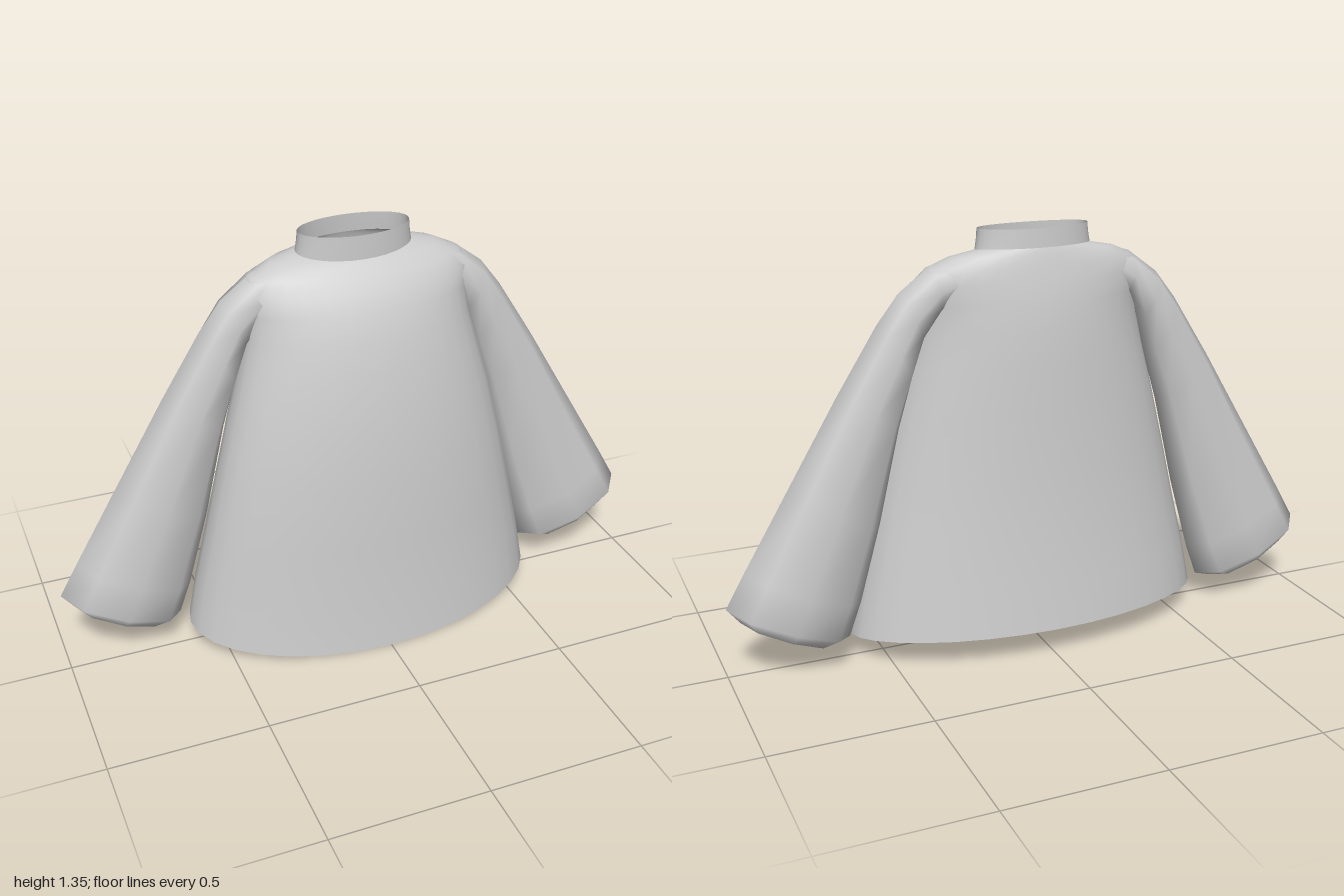
import * as THREE from 'three';

const material = new THREE.MeshStandardMaterial({ color: 0xcccccc, side: THREE.DoubleSide });

// Skin a list of closed rings; point(row, angle) returns [x, y, z].
function loft(name, rows, sides, point) {
  const positions = [], index = [];
  rows.forEach((row, i) => {
    for (let j = 0; j < sides; j++) {
      positions.push(...point(row, (j / sides) * Math.PI * 2));
      if (i === 0) continue;
      const k = (j + 1) % sides;
      const a = (i - 1) * sides + j, b = (i - 1) * sides + k;
      const c = i * sides + j, d = i * sides + k;
      index.push(a, b, d, a, d, c);
    }
  });
  const geometry = new THREE.BufferGeometry();
  geometry.setAttribute('position', new THREE.Float32BufferAttribute(positions, 3));
  geometry.setIndex(index);
  geometry.computeVertexNormals();
  const mesh = new THREE.Mesh(geometry, material);
  mesh.name = name;
  return mesh;
}

// Horizontal oval ring that dips at the front and lifts at the back.
function oval([y, halfWidth, front, back, tilt], t) {
  const c = Math.cos(t);
  return [
    halfWidth * Math.sin(t),
    y - tilt * (0.0475 * c + 0.0225 * c * c),
    (front + back) / 2 + (c * (front - back)) / 2,
  ];
}

// Height, half width, front z, back z, tilt
const bodyRows = [
  [0.07, 0.6, 0.275, -0.272, 1],
  [0.22, 0.572, 0.257, -0.254, 0.6],
  [0.4, 0.53, 0.246, -0.235, 0.3],
  [0.6, 0.485, 0.232, -0.219, 0],
  [0.8, 0.435, 0.208, -0.207, 0],
  [0.95, 0.392, 0.181, -0.199, 0],
  [1.05, 0.367, 0.156, -0.191, 0],
  [1.13, 0.36, 0.13, -0.181, 0],
  [1.19, 0.372, 0.098, -0.169, 0],
  [1.235, 0.345, 0.068, -0.158, 0.1],
  [1.268, 0.27, 0.045, -0.149, 0.2],
  [1.285, 0.187, 0.031, -0.142, 0.27],
];

const collarRows = [
  [1.285, 0.187, 0.031, -0.142, 0.27],
  [1.315, 0.182, 0.03, -0.14, 0.15],
  [1.348, 0.179, 0.029, -0.138, 0.08],
];

// Outer x, y, inner x, y, half depth; last row turns in at the cuff
const sleeveRows = [
  [0.2, 1.28, 0.2, 1.16, 0.08],
  [0.33, 1.245, 0.31, 1.1, 0.08],
  [0.43, 1.17, 0.36, 1.02, 0.078],
  [0.5, 1.08, 0.395, 0.9, 0.078],
  [0.63, 0.875, 0.44, 0.75, 0.08],
  [0.8, 0.59, 0.51, 0.45, 0.09],
  [0.94, 0.355, 0.58, 0.2, 0.101],
  [1.0, 0.25, 0.62, 0.09, 0.107],
  [0.96, 0.2, 0.68, 0.073, 0.078],
];

function sleeve(name, side) {
  return loft(name, sleeveRows, 8, ([ox, oy, ix, iy, depth], t) => {
    const c = Math.cos(t);
    return [
      side * ((ox + ix) / 2 + (c * (ox - ix)) / 2),
      (oy + iy) / 2 + (c * (oy - iy)) / 2,
      -0.047 + side * depth * Math.sin(t),
    ];
  });
}

export function createModel() {
  const group = new THREE.Group();
  group.name = 'shirt';
  group.add(
    loft('body', bodyRows, 32, oval),
    loft('collar', collarRows, 32, oval),
    sleeve('leftSleeve', 1),
    sleeve('rightSleeve', -1),
  );
  return group;
}
